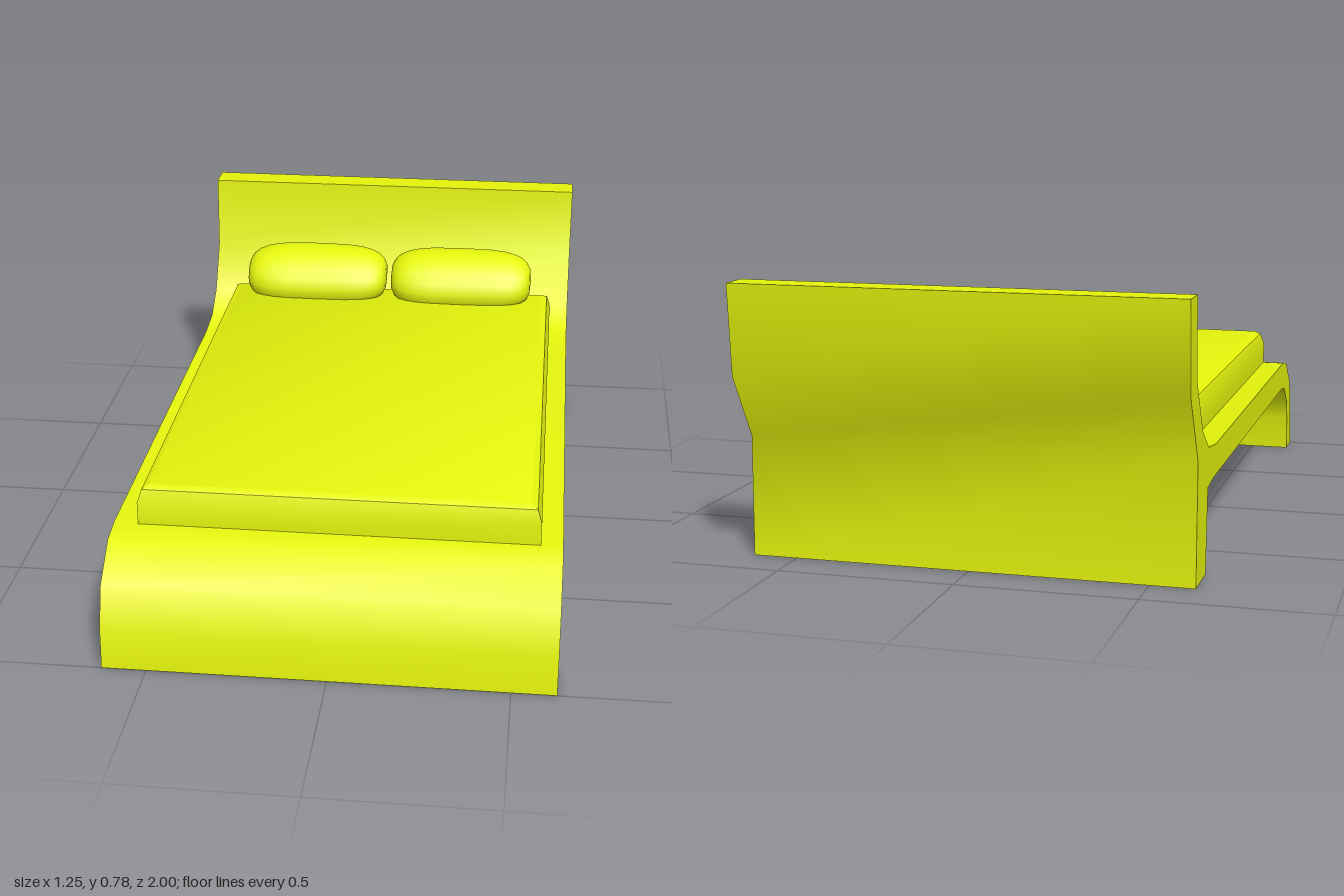
import * as THREE from 'three';
import { mergeVertices, toCreasedNormals } from 'three/addons/utils/BufferGeometryUtils.js';

const material = new THREE.MeshStandardMaterial({ color: 0xe5f50c });

function part(name, geometry) {
  const mesh = new THREE.Mesh(geometry, material);
  mesh.name = name;
  return mesh;
}

// Side profile (z, y) swept across the full width: foot, base, rear leg and headboard
function frameGeometry() {
  const width = 1.25;
  const profile = [
    [1, 0], [0.99, 0.12], [0.95, 0.235], [0.845, 0.317], [0.765, 0.33],
    [-0.595, 0.33], [-0.71, 0.345], [-0.8, 0.405], [-0.892, 0.55], [-0.907, 0.78],
    [-1, 0.78], [-0.98, 0.525], [-0.868, 0.34], [-0.872, 0],
    [-0.73, 0], [-0.713, 0.235], [-0.625, 0.243], [0.74, 0.243],
    [0.805, 0.235], [0.873, 0.18], [0.9, 0.11], [0.907, 0],
  ];
  const shape = new THREE.Shape(profile.map(([z, y]) => new THREE.Vector2(z, y)));
  const geometry = new THREE.ExtrudeGeometry(shape, { depth: width, bevelEnabled: false });
  geometry.translate(0, 0, -width / 2).rotateY(-Math.PI / 2);
  return toCreasedNormals(geometry, 0.7);
}

// Block whose upper rows are drawn in to soften the top edge
function mattressGeometry() {
  const rows = [[0.325, 0], [0.395, 0], [0.432, 0.012], [0.442, 0.03]]; // height, inset
  const geometry = new THREE.BoxGeometry(1.12, 3, 1.58, 1, 3, 1);
  const p = geometry.attributes.position;
  for (let i = 0; i < p.count; i++) {
    const [y, inset] = rows[Math.round(p.getY(i) + 1.5)];
    const x = p.getX(i), z = p.getZ(i);
    p.setXYZ(i, x - Math.sign(x) * inset, y, z - Math.sign(z) * inset);
  }
  geometry.translate(0.004, 0, -0.02);
  return toCreasedNormals(geometry, 0.6);
}

// Sphere with its poles along x, squared off towards the ends
function pillowGeometry() {
  let geometry = new THREE.SphereGeometry(1, 18, 14);
  geometry.rotateZ(-Math.PI / 2);
  geometry.deleteAttribute('uv');
  geometry.deleteAttribute('normal');
  const p = geometry.attributes.position;
  for (let i = 0; i < p.count; i++) {
    const x = p.getX(i), y = p.getY(i), z = p.getZ(i);
    const r = Math.hypot(y, z);
    const swell = r > 1e-6 ? Math.pow(r, 0.6) / r : 0;
    p.setXYZ(i, 0.244 * Math.sign(x) * Math.pow(Math.abs(x), 0.6), 0.08 * y * swell, 0.12 * z * swell);
  }
  geometry = mergeVertices(geometry, 1e-5);
  geometry.computeVertexNormals();
  return geometry;
}

export function createModel() {
  const bed = new THREE.Group();
  bed.name = 'bed';
  bed.add(part('frame', frameGeometry()), part('mattress', mattressGeometry()));

  // Pair of pillows leaning back against the headboard
  const pillow = pillowGeometry();
  for (const [name, x] of [['leftPillow', 0.251], ['rightPillow', -0.251]]) {
    const mesh = part(name, pillow);
    mesh.position.set(x, 0.497, -0.767);
    mesh.rotation.x = 0.56;
    bed.add(mesh);
  }
  return bed;
}
